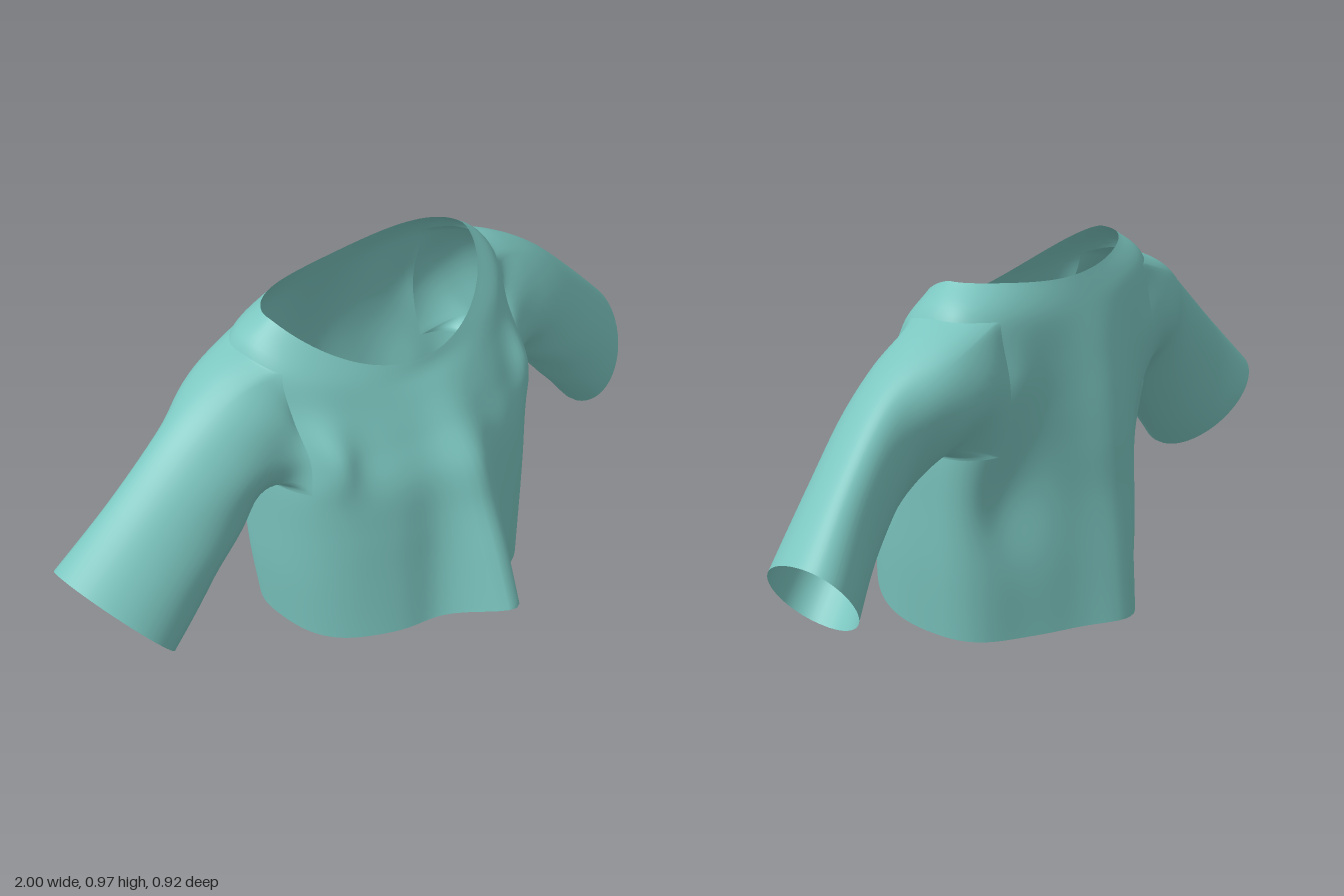
import * as THREE from 'three';

const COLS = 120, ROWS = 48, RINGS = 30;
const HOLE = { back: 13, front: 8, from: 21, to: 41 }; // armhole, in grid cells

// Body rows, hem to neck: yFront, ySide, yBack, halfWidth, zSide, zFront, zBack,
// frontPleat, backPleat, frontRoundness, backRoundness
const BODY = [
  [0.09, 0.005, 0.015, 0.38, -0.10, 0.29, -0.345, 0.165, 0.11, 0.74, 0.8],
  [0.27, 0.20, 0.20, 0.405, -0.10, 0.28, -0.345, 0.12, 0.095, 0.74, 0.74],
  [0.42, 0.38, 0.38, 0.42, -0.10, 0.27, -0.34, 0.075, 0.08, 0.74, 0.66],
  [0.55, 0.53, 0.52, 0.43, -0.11, 0.25, -0.335, 0.05, 0.075, 0.72, 0.6],
  [0.66, 0.63, 0.64, 0.425, -0.12, 0.20, -0.335, 0.02, 0.055, 0.72, 0.58],
  [0.74, 0.76, 0.76, 0.43, -0.13, 0.155, -0.33, 0.005, 0.025, 0.78, 0.62],
  [0.785, 0.9, 0.865, 0.425, -0.14, 0.125, -0.315, 0, 0, 0.9, 0.76],
  [0.815, 0.975, 0.945, 0.345, -0.12, 0.11, -0.28, 0, 0, 1.1, 0.95],
];

// Sleeve sections, shoulder to cuff: top x y z, bottom x y z, depth forwards, depth backwards
const SLEEVE = [
  [0.43, 0.9, -0.15, 0.43, 0.55, -0.10, 0.16, 0.18],
  [0.53, 0.855, -0.15, 0.475, 0.54, -0.09, 0.15, 0.165],
  [0.67, 0.76, -0.15, 0.56, 0.45, -0.075, 0.14, 0.105],
  [0.83, 0.615, -0.165, 0.67, 0.325, -0.07, 0.14, 0.1],
  [1.0, 0.45, -0.19, 0.79, 0.185, -0.075, 0.15, 0.13],
];

// Smooth interpolation through the rows of a table, t from 0 to 1
function sample(table, t) {
  const last = table.length - 1, f = t * last;
  const i = Math.min(Math.floor(f), last - 1), u = f - i;
  const at = (k) => table[Math.max(0, Math.min(last, k))];
  return table[0].map((_, c) => {
    const p0 = at(i - 1)[c], p1 = at(i)[c], p2 = at(i + 1)[c], p3 = at(i + 2)[c];
    return p1 + 0.5 * u * (p2 - p0 + u * (2 * p0 - 5 * p1 + 4 * p2 - p3 + u * (3 * (p1 - p2) + p3 - p0)));
  });
}

const bell = (d, w) => Math.exp(-((d / w) ** 2));

// A point on the body: column sets the angle around it (0 is the left side), row the height
function bodyPoint(col, row) {
  const a = (col / COLS) * Math.PI * 2, t = row / ROWS;
  const [yF, yS, yB, w, zS, zF, zB, pleatF, pleatB, roundF, roundB] = sample(BODY, t);
  const x = w * Math.cos(a), front = Math.sin(a) > 0, s = Math.abs(Math.sin(a));
  const face = s * s, side = Math.abs(x);
  let y, z;
  if (front) {
    const pleat = pleatF * bell(x, 0.085);
    y = yS + (yF - yS) * Math.pow(s, 1.6) + 0.4 * pleat;
    z = zS + (zF - zS) * Math.pow(s, roundF) + pleat;
    // cloth gathered in front of the armpit
    z += 0.05 * bell(side - 0.35, 0.055) * bell(y - 0.65, 0.09);
  } else {
    y = yS + (yB - yS) * Math.pow(s, 3.5);
    z = zS + (zB - zS) * Math.pow(s, roundB) - pleatB * bell(x, 0.17) * face;
    // fullness over the shoulder blade, hollow behind the armpit
    z -= 0.025 * bell(side - 0.33, 0.08) * bell(y - 0.72, 0.1) * s;
    z += 0.05 * bell(side - 0.32, 0.09) * bell(y - 0.4, 0.15) * s;
  }
  // soft vertical folds fading upwards
  z += 0.008 * Math.cos(x * 30) * face * Math.max(0, 0.7 - t) * (front ? 1 : -1);
  return new THREE.Vector3(x, y, z);
}

// Turns rings of points, closed around, into a smooth surface; skip(col, row) leaves holes
function skin(rings, mirror = false, skip = () => false) {
  const n = rings[0].length, pos = [], index = [];
  rings.forEach((ring) => ring.forEach((p) => pos.push(mirror ? -p.x : p.x, p.y, p.z)));
  for (let r = 0; r < rings.length - 1; r++) {
    for (let c = 0; c < n; c++) {
      if (skip(c, r)) continue;
      const a = r * n + c, b = r * n + ((c + 1) % n), d = a + n, e = b + n;
      if (mirror) index.push(a, b, d, b, e, d);
      else index.push(a, d, b, b, d, e);
    }
  }
  const g = new THREE.BufferGeometry();
  g.setAttribute('position', new THREE.Float32BufferAttribute(pos, 3));
  g.setIndex(index);
  g.computeVertexNormals();
  return g;
}

// The armhole outline on the left side of the body
function armholeLoop() {
  const { back, front, from, to } = HOLE, loop = [];
  for (let c = -back; c < front; c++) loop.push(bodyPoint(c, from));
  for (let r = from; r < to; r++) loop.push(bodyPoint(front, r));
  for (let c = front; c > -back; c--) loop.push(bodyPoint(c, to));
  for (let r = to; r > from; r--) loop.push(bodyPoint(-back, r));
  return loop;
}

// Sleeve rings grow out of the armhole and settle into oval sections
function sleeveRings() {
  const loop = armholeLoop();
  const box = new THREE.Box3().setFromPoints(loop);
  const mid = box.getCenter(new THREE.Vector3()), size = box.getSize(new THREE.Vector3());
  const rings = [];
  for (let i = 0; i <= RINGS; i++) {
    const u = i / RINGS;
    const [tx, ty, tz, bx, by, bz, depthF, depthB] = sample(SLEEVE, u);
    const top = new THREE.Vector3(tx, ty, tz), bottom = new THREE.Vector3(bx, by, bz);
    const centre = top.clone().add(bottom).multiplyScalar(0.5);
    const up = top.clone().sub(bottom).multiplyScalar(0.5);
    const blend = 1 - (1 - Math.min(1, u / 0.4)) ** 2;
    rings.push(loop.map((p) => {
      const a = Math.atan2((p.z - mid.z) / size.z, (p.y - mid.y) / size.y);
      // creases near the shoulder, strongest underneath
      const crease = 1 + 0.04 * Math.sin(a * 5 + u * 16) * (1 - u) * (0.5 - 0.5 * Math.cos(a));
      const q = up.clone().multiplyScalar(Math.cos(a) * crease).add(centre);
      q.z += (Math.sin(a) > 0 ? depthF : depthB) * Math.sin(a) * crease;
      return p.clone().lerp(q, blend);
    }));
  }
  return rings;
}

export function createModel() {
  const cloth = new THREE.MeshStandardMaterial({ color: 0x7cc6c0, side: THREE.DoubleSide });
  cloth.name = 'teal cloth';
  const shirt = new THREE.Group();
  shirt.name = 'shirt';
  const add = (name, geometry) => {
    const mesh = new THREE.Mesh(geometry, cloth);
    mesh.name = name;
    shirt.add(mesh);
  };

  // Body, open at the hem, neck and armholes
  const rows = [];
  for (let r = 0; r <= ROWS; r++) {
    rows.push(Array.from({ length: COLS }, (_, c) => bodyPoint(c, r)));
  }
  const inArmhole = (c, r) => {
    if (r < HOLE.from || r >= HOLE.to) return false;
    const left = c < HOLE.front || c >= COLS - HOLE.back;
    return left || (c >= COLS / 2 - HOLE.front && c < COLS / 2 + HOLE.back);
  };
  add('body', skin(rows, false, inArmhole));

  // Sleeves
  const rings = sleeveRings();
  add('leftSleeve', skin(rings));
  add('rightSleeve', skin(rings, true));
  return shirt;
}
